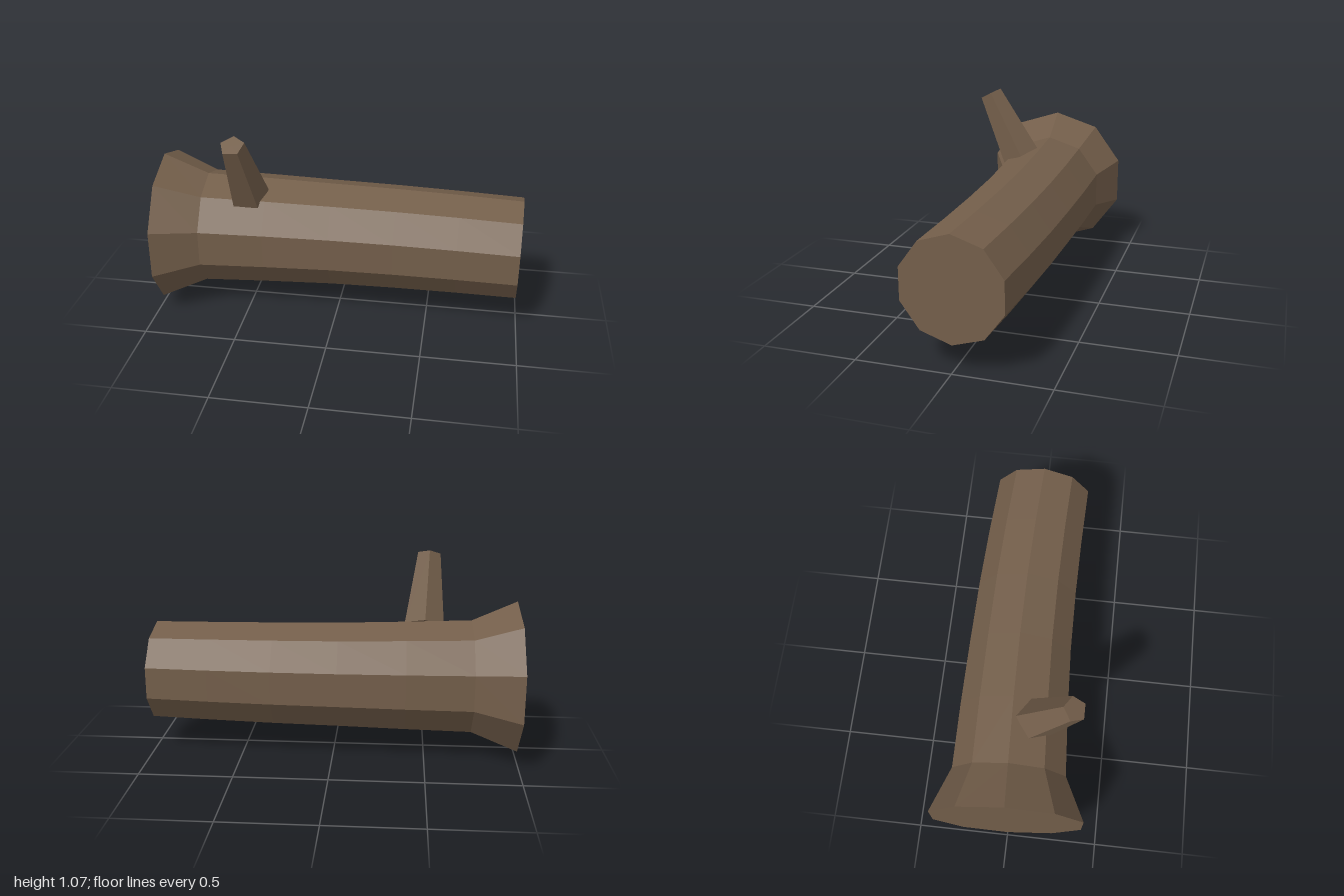
import * as THREE from 'three';

// Trunk sections along x: [centre x, centre z, radius]
const SECTIONS = [
  [-0.985, 0, 0.423],
  [-0.743, -0.012, 0.317],
  [-0.39, -0.024, 0.306],
  [-0.03, -0.03, 0.295],
  [0.32, -0.028, 0.289],
  [0.66, -0.018, 0.283],
  [0.99, -0.002, 0.277],
];

// Ten-sided log with a flared foot, bent gently towards the back
function trunkGeometry() {
  const rows = SECTIONS.length - 1;
  const geo = new THREE.CylinderGeometry(1, 1, 1, 10, rows, false, Math.PI / 2);
  geo.rotateZ(-Math.PI / 2);
  const pos = geo.attributes.position;
  for (let i = 0; i < pos.count; i++) {
    const [cx, cz, r] = SECTIONS[Math.round((pos.getX(i) + 0.5) * rows)];
    const y = pos.getY(i) * r;
    const z = pos.getZ(i) * r;
    // each section tilts to stay square to the bend
    pos.setXYZ(i, cx - 0.038 * cx * z, 0.425 + y, cz + z);
  }
  geo.computeVertexNormals();
  return geo;
}

// Five-sided tapered stub between two points, one edge towards the back
function branchGeometry(base, tip, baseRadius, tipRadius) {
  const axis = tip.clone().sub(base);
  const geo = new THREE.CylinderGeometry(tipRadius, baseRadius, axis.length(), 5);
  axis.normalize();
  const back = new THREE.Vector3(0, 0, -1);
  back.addScaledVector(axis, -back.dot(axis)).normalize();
  const side = new THREE.Vector3().crossVectors(axis, back);
  const centre = base.clone().add(tip).multiplyScalar(0.5);
  geo.applyMatrix4(new THREE.Matrix4().makeBasis(side, axis, back).setPosition(centre));
  return geo;
}

export function createModel() {
  const bark = new THREE.MeshStandardMaterial({ color: 0x735e4a });
  bark.name = 'bark';
  bark.flatShading = true;

  const model = new THREE.Group();
  model.name = 'log';

  const trunk = new THREE.Mesh(trunkGeometry(), bark);
  trunk.name = 'trunk';

  const branch = new THREE.Mesh(
    branchGeometry(
      new THREE.Vector3(-0.49, 0.682, 0.1),
      new THREE.Vector3(-0.513, 1.045, 0.293),
      0.113,
      0.066
    ),
    bark
  );
  branch.name = 'branchStub';

  model.add(trunk, branch);
  return model;
}
